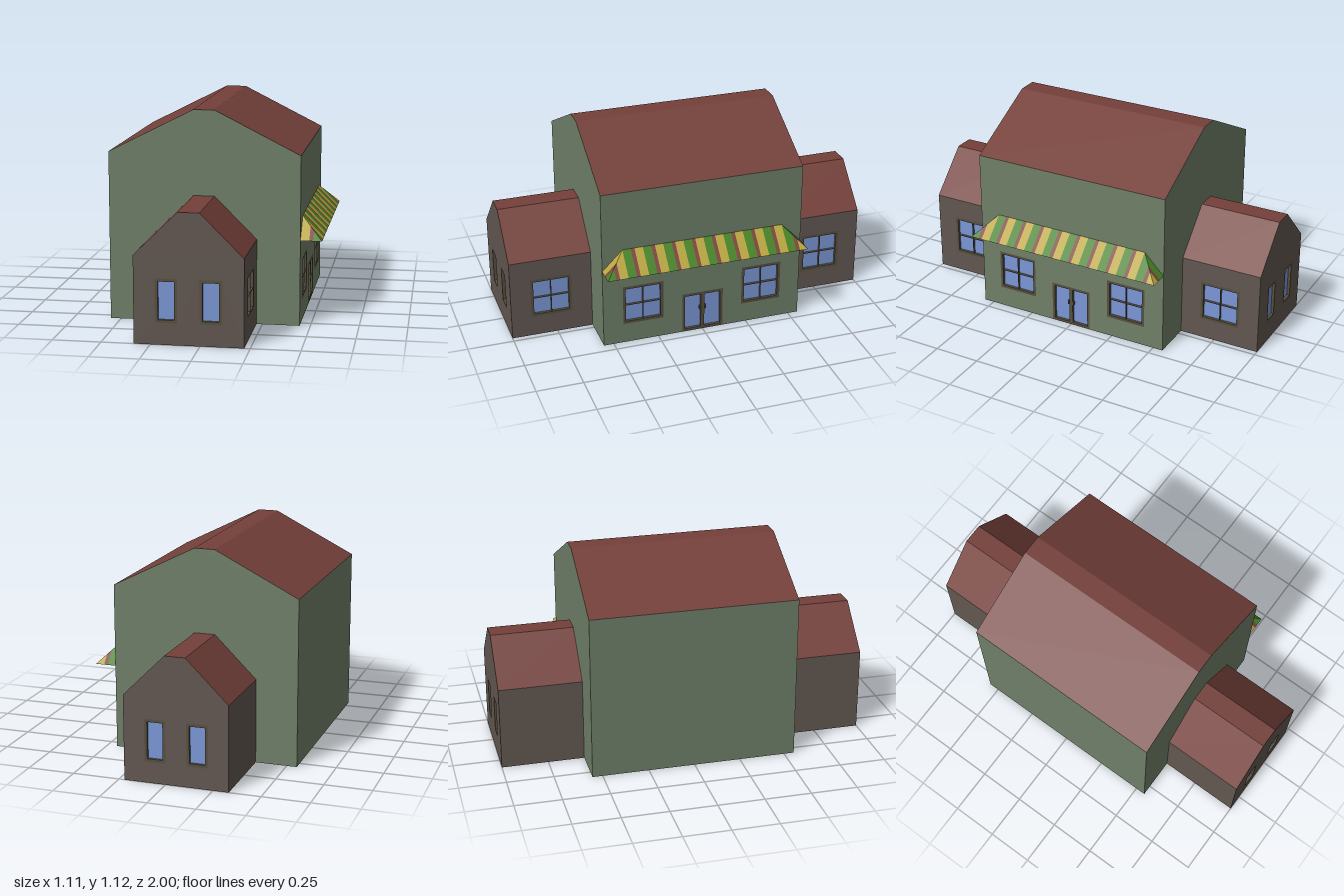
import * as THREE from 'three';

const paint = (name, color, side = THREE.DoubleSide) =>
  Object.assign(new THREE.MeshStandardMaterial({ color, side }), { name });

export function createModel() {
  const model = new THREE.Group();
  model.name = 'shopHouse';

  const wallGreen = paint('wall green', 0x6f7f68);
  const wallBrown = paint('wall brown', 0x625751);
  const roofRed = paint('roof red', 0x74403a);
  const frameDark = paint('frame dark olive', 0x57503f);
  const glassBlue = paint('glass blue', 0x7b97d6);
  const yellow = paint('awning yellow', 0xb9a53f);
  const green = paint('awning green', 0x468222);
  const maroon = paint('awning maroon', 0x7d423c);

  const add = (parent, name, geometry, material) => {
    const mesh = new THREE.Mesh(geometry, material);
    mesh.name = name;
    parent.add(mesh);
    return mesh;
  };
  const vecs = (pts) => pts.map(([x, y]) => new THREE.Vector2(x, y));
  const rect = (x0, y0, x1, y1) => [[x0, y0], [x1, y0], [x1, y1], [x0, y1]];
  const shapeOf = (pts, holes = []) => {
    const shape = new THREE.Shape(vecs(pts));
    holes.forEach((h) => shape.holes.push(new THREE.Path(vecs(h))));
    return shape;
  };
  const plate = (pts, holes) => new THREE.ShapeGeometry(shapeOf(pts, holes));
  const quad = (a, b, c, d) => {
    const g = new THREE.BufferGeometry();
    g.setAttribute('position', new THREE.Float32BufferAttribute([a, b, c, a, c, d].flat(), 3));
    g.computeVertexNormals();
    return g;
  };

  // Recessed opening: frame, glass and, if wanted, fins crossing in front of the glass
  const RECESS = 0.02;
  const addOpening = (wall, name, [x0, y0, x1, y1], cross) => {
    const group = new THREE.Group();
    group.name = name;
    wall.add(group);
    const f = 0.015;
    const pane = rect(x0 + f, y0 + f, x1 - f, y1 - f);
    const frame = new THREE.ExtrudeGeometry(shapeOf(rect(x0, y0, x1, y1), [pane]),
      { depth: RECESS, bevelEnabled: false });
    frame.translate(0, 0, -RECESS);
    add(group, 'frame', frame, frameDark);
    add(group, 'glass', plate(pane), glassBlue).position.z = -0.015;
    if (cross) {
      const cx = (x0 + x1) / 2, cy = (y0 + y1) / 2;
      const upright = new THREE.BoxGeometry(0.003, y1 - y0 - 2 * f, 0.014);
      add(group, 'uprightBar', upright, frameDark).position.set(cx, cy, -0.008);
      const level = new THREE.BoxGeometry(x1 - x0 - 2 * f, 0.003, 0.014);
      add(group, 'levelBar', level, frameDark).position.set(cx, cy, -0.008);
    }
  };

  // Wall plate with openings, drawn in its own plane and facing its own +z
  const addWall = (name, material, outline, openings, place, cross, gaps = []) => {
    const wall = new THREE.Group();
    wall.name = name;
    const holes = openings.map((o) => rect(...o));
    add(wall, 'wallPlate', plate(outline, [...holes, ...gaps]), material);
    openings.forEach((o) => addOpening(wall, 'window', o, cross));
    place(wall);
    model.add(wall);
    return wall;
  };
  const facing = (x, z, turn) => (wall) => {
    wall.position.set(x, 0, z);
    wall.rotation.y = turn;
  };

  // Roof strips along z between consecutive points of the upper profile
  const addRoof = (name, profile, z0, z1) => {
    for (let i = 0; i < 3; i++) {
      const [ax, ay] = profile[i], [bx, by] = profile[i + 1];
      add(model, name, quad([ax, ay, z1], [ax, ay, z0], [bx, by, z0], [bx, by, z1]), roofRed);
    }
  };

  const mainRoof = [[0.445, 0.89], [0, 1.115], [-0.11, 1.115], [-0.555, 0.89]];
  const wingRoof = [[0.22, 0.45], [0, 0.67], [-0.11, 0.67], [-0.333, 0.45]];
  const LOW = 0.112, HIGH = 0.336, Z = 0.555;

  // Main hall side walls, with shop windows and the door on the left side
  const doorway = rect(-0.115, 0, 0.115, 0.23);
  const shopWall = addWall('shopWall', wallGreen,
    [[-Z, 0], [-0.115, 0], [-0.115, 0.23], [0.115, 0.23], [0.115, 0], [Z, 0], [Z, 0.89], [-Z, 0.89]],
    [[-0.445, LOW, -0.222, HIGH], [0.222, LOW, 0.445, HIGH]],
    facing(0.445, 0, Math.PI / 2), true);
  addWall('blankWall', wallGreen, rect(-Z, 0, Z, 0.89), [], facing(-0.555, 0, -Math.PI / 2));
  addRoof('mainRoof', mainRoof, -Z, Z);

  // Double door with two panes and two handles
  const door = new THREE.Group();
  door.name = 'doubleDoor';
  shopWall.add(door);
  const panes = [rect(-0.1, 0.015, -0.01, 0.215), rect(0.01, 0.015, 0.1, 0.215)];
  const doorFrame = new THREE.ExtrudeGeometry(shapeOf(doorway, panes),
    { depth: RECESS, bevelEnabled: false });
  doorFrame.translate(0, 0, -RECESS);
  add(door, 'doorFrame', doorFrame, frameDark);
  panes.forEach((p) => { add(door, 'doorGlass', plate(p), glassBlue).position.z = -0.015; });
  for (const s of [-1, 1]) {
    add(door, 'doorHandle', new THREE.BoxGeometry(0.006, 0.022, 0.014), frameDark)
      .position.set(s * 0.015, 0.135, -0.004);
  }

  // Gables and wings at the front (s = 1) and back (s = -1)
  for (const s of [1, -1]) {
    const turn = s > 0 ? 0 : Math.PI;
    const flip = (pts) => pts.map(([x, y]) => [x * s, y]);
    const end = s > 0 ? 'front' : 'back';

    // Main gable, left open where the wing joins
    addWall(end + 'Gable', wallGreen, flip([
      [-0.555, 0], [-0.333, 0], ...[...wingRoof].reverse(), [0.22, 0], [0.445, 0], ...mainRoof,
    ]), [], facing(0, s * Z, turn));

    // Wing gable with two narrow windows
    const slots = [[-0.225, -0.113], [-0.002, 0.11]].map(([a, b]) =>
      [Math.min(a * s, b * s), LOW, Math.max(a * s, b * s), HIGH]);
    addWall(end + 'WingGable', wallBrown, flip([[-0.333, 0], [0.22, 0], ...wingRoof]),
      slots, facing(0, s, turn), false);

    // Wing side walls, windowed on the left side only
    const mid = s * (1 + Z) / 2, half = (1 - Z) / 2;
    const side = rect(-half, 0, half, 0.45);
    addWall(end + 'WingWindowWall', wallBrown, side, [[-0.112, LOW, 0.112, HIGH]],
      facing(0.22, mid, Math.PI / 2), true);
    addWall(end + 'WingBlankWall', wallBrown, side, [], facing(-0.333, mid, -Math.PI / 2));
    addRoof(end + 'WingRoof', wingRoof, Math.min(s, s * Z), Math.max(s, s * Z));
  }

  // Striped awning: one long slope and two hipped ends
  const awning = new THREE.Group();
  awning.name = 'awning';
  model.add(awning);
  const PITCH = 0.111, WALL = 0.445;
  const stripes = [[green, 0, 0.41], [maroon, 0.41, 0.59], [yellow, 0.59, 1]];
  const slope = (z, t) => [WALL + PITCH * (1 - t), 0.45 + PITCH * t, z];
  const rise = (z) => Math.min(1, Math.max(0, (Z - Math.abs(z)) / PITCH));
  for (const [material, from, to] of stripes) {
    for (let i = 0; i < 10; i++) {
      const a = Z - PITCH * (i + from), b = Z - PITCH * (i + to);
      add(awning, 'awningStripe',
        quad(slope(a, 0), slope(b, 0), slope(b, rise(b)), slope(a, rise(a))), material);
    }
    for (const s of [1, -1]) {
      const hip = (d, t) => [WALL + PITCH * d, 0.45 + PITCH * t, s * (Z - PITCH * t)];
      let [a, b] = s > 0 ? [1 - to, 1 - from] : [to, from];
      add(awning, 'awningEndStripe',
        quad(hip(a, 0), hip(b, 0), hip(b, 1 - b), hip(a, 1 - a)), material);
    }
  }
  return model;
}
